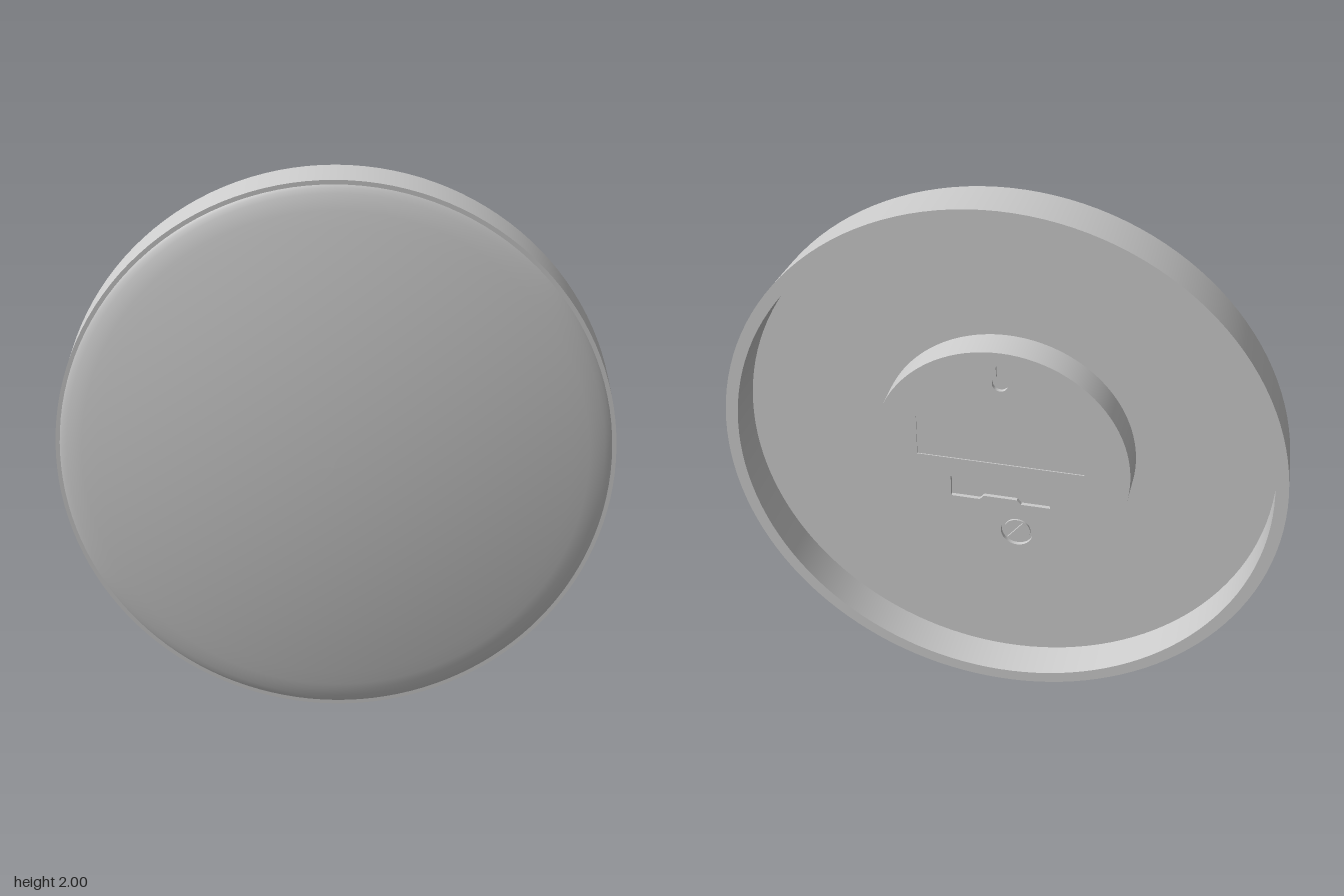
import * as THREE from 'three';

const material = new THREE.MeshStandardMaterial({ color: 0xcccccc });
const SEGMENTS = 128;

function add(parent, name, geometry) {
  const mesh = new THREE.Mesh(geometry, material);
  mesh.name = name;
  parent.add(mesh);
  return mesh;
}

// Surface of revolution about the z axis from [radius, z] points; outside lies right of travel
function turned(points) {
  const profile = points.map(([r, z]) => new THREE.Vector2(r, z));
  return new THREE.LatheGeometry(profile, SEGMENTS).rotateX(Math.PI / 2);
}

function polygonPath(points) {
  return new THREE.Path(points.map(([x, y]) => new THREE.Vector2(x, y)));
}

function circlePath(x, y, r) {
  return new THREE.Path().absarc(x, y, r, 0, Math.PI * 2, true);
}

// Round plate with cut-outs
function plate(radius, depth, holes) {
  const shape = new THREE.Shape().absarc(0, 0, radius, 0, Math.PI * 2, false);
  shape.holes.push(...holes);
  return new THREE.ExtrudeGeometry(shape, { depth, bevelEnabled: false, curveSegments: 48 });
}

export function createModel() {
  const model = new THREE.Group();
  model.name = 'wallClock';
  const body = new THREE.Group();
  body.name = 'clockBody';
  body.position.y = 1;
  model.add(body);

  // Case: back floor, inner wall, back edge, tapered outer wall, front lip
  const floorZ = -0.005, backZ = -0.145, lipZ = 0.045;
  const caseProfile = [
    [0.44, floorZ], [0.95, floorZ], [0.955, backZ], [1, backZ], [0.987, lipZ], [0.972, lipZ],
  ];
  const caseNames = ['backFloor', 'innerWall', 'backRim', 'outerWall', 'frontLip'];
  caseNames.forEach((name, i) => add(body, name, turned([caseProfile[i], caseProfile[i + 1]])));

  // Domed front: rolled edge running into a shallow bowl
  const dome = [[0.972, lipZ], [0.962, 0.051], [0.945, 0.057], [0.92, 0.0645]];
  for (let i = 0; i <= 16; i++) {
    const r = 0.89 * (1 - i / 16);
    dome.push([r, 0.147 - 0.076 * (r / 0.89) ** 2]);
  }
  add(body, 'frontDome', turned(dome));

  // Movement housing on the back, built facing local +z
  const housing = new THREE.Group();
  housing.name = 'movementHousing';
  housing.rotation.y = Math.PI;
  body.add(housing);
  const radius = 0.46, baseZ = 0.107, midZ = 0.117, topZ = 0.121;
  add(body, 'housingWall', turned([[radius, -topZ], [radius, floorZ]]));
  add(housing, 'housingBase', new THREE.CircleGeometry(radius, SEGMENTS)).position.z = baseZ;

  // Keyhole for hanging: round opening with a narrow rounded slot above
  const keyhole = new THREE.Path();
  keyhole.absarc(0, 0.335, 0.028, Math.PI - 1.05, Math.PI * 2 + 1.05, false);
  keyhole.absarc(0, 0.4, 0.014, 0, Math.PI, false);
  keyhole.closePath();

  // Latch recess with a small raised tab along its lower edge
  const latch = polygonPath([
    [-0.18, -0.08], [0.18, -0.08], [0.18, -0.165], [0.075, -0.165], [0.06, -0.148],
    [-0.06, -0.148], [-0.075, -0.165], [-0.18, -0.165],
  ]);
  const knobX = 0.06, knobY = -0.29, knobR = 0.058;
  const deepHoles = [keyhole, latch, circlePath(knobX, knobY, knobR)];
  const panel = polygonPath([[-0.3, 0], [-0.3, 0.16], [0.3, 0.16], [0.3, 0]]);

  add(housing, 'housingInnerPlate', plate(radius - 0.0005, midZ - baseZ, deepHoles)).position.z = baseZ;
  add(housing, 'housingOuterPlate', plate(radius - 0.0005, topZ - midZ, [...deepHoles, panel])).position.z = midZ;

  // Setting knob: dial with a diagonal grip
  const knob = new THREE.Group();
  knob.name = 'settingKnob';
  knob.position.set(knobX, knobY, baseZ);
  knob.rotation.z = 0.9;
  housing.add(knob);
  add(knob, 'knobDisc', new THREE.CylinderGeometry(0.048, 0.048, 0.008, 48).rotateX(Math.PI / 2)).position.z = 0.004;
  add(knob, 'knobGrip', new THREE.BoxGeometry(0.088, 0.018, 0.014)).position.z = 0.009;

  return model;
}
